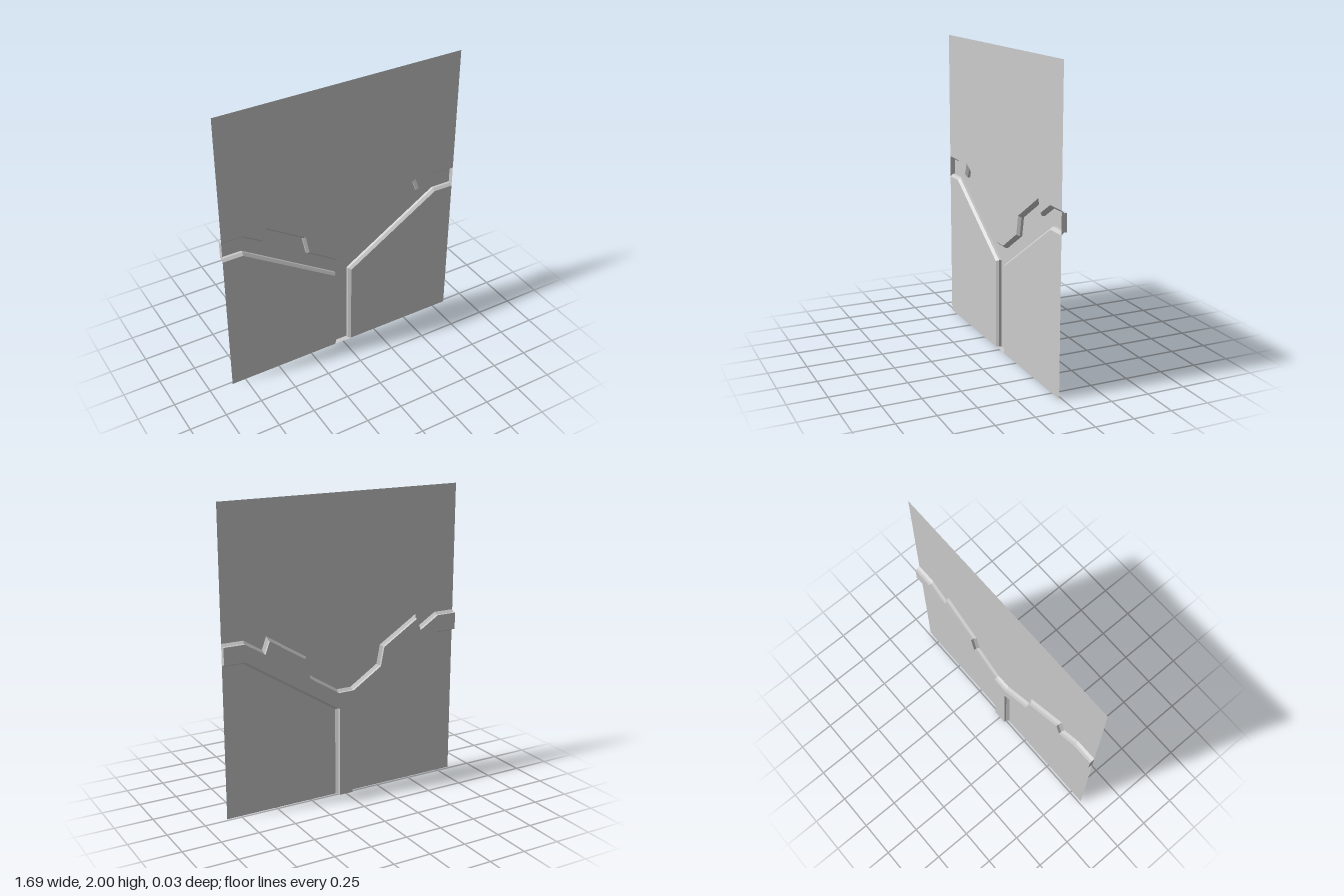
import * as THREE from 'three';

const W = 0.845, H = 2, FRONT = 0.017, FOLD = 0, BACK = -0.017, BEVEL = 0.016;

// Mirror a path across x = 0, keeping its left-to-right direction
const mirror = pts => pts.map(([x, y]) => [-x, y]).reverse();

// Shift a path sideways with mitred corners (positive d = to the right of travel)
function offset(pts, d) {
  const normal = (a, b) => new THREE.Vector2(b[1] - a[1], a[0] - b[0]).normalize();
  return pts.map((p, i) => {
    const n1 = normal(pts[Math.max(i - 1, 0)], pts[Math.max(i, 1)]);
    const last = pts.length - 1;
    const n2 = normal(pts[Math.min(i, last - 1)], pts[Math.min(i + 1, last)]);
    const m = n1.clone().add(n2);
    m.multiplyScalar(d / (1 + n1.dot(n2)));
    return [p[0] + m.x, p[1] + m.y];
  });
}

export function createModel() {
  const group = new THREE.Group();
  const material = new THREE.MeshStandardMaterial({
    color: 0xcccccc, flatShading: true, side: THREE.DoubleSide,
  });
  const add = (name, geometry) => {
    const mesh = new THREE.Mesh(geometry, material);
    mesh.name = name;
    group.add(mesh);
    return mesh;
  };

  // Flat sheet facing +z
  const sheet = (name, pts, z) => {
    const shape = new THREE.Shape(pts.map(([x, y]) => new THREE.Vector2(x, y)));
    add(name, new THREE.ShapeGeometry(shape)).position.z = z;
  };

  // Channel wall: a bevel from the panel edge, then a straight drop to the floor
  const wall = (name, edge, inner, flip) => {
    const rows = [[edge, FRONT], [inner, FOLD], [inner, BACK]];
    const pos = [];
    for (let r = 0; r < 2; r++) {
      for (let i = 0; i < edge.length - 1; i++) {
        const at = (row, k) => [...rows[row][0][k], rows[row][1]];
        const [a, b, c, d] = [at(r, i), at(r, i + 1), at(r + 1, i + 1), at(r + 1, i)];
        pos.push(...(flip ? [a, b, c, a, c, d] : [a, c, b, a, d, c]).flat());
      }
    }
    const g = new THREE.BufferGeometry();
    g.setAttribute('position', new THREE.Float32BufferAttribute(pos, 3));
    g.computeVertexNormals();
    add(name, g);
  };

  // Panel edges along the channel
  const upperHalf = [
    [0.05, 0.73], [0.247, 0.856], [0.272, 0.983], [0.547, 1.155],
    [0.577, 1.073], [0.70, 1.149], [W, 1.149],
  ];
  const upper = [...mirror(upperHalf), ...upperHalf];
  const lowerRight = [[0.064, 0], [0.064, 0.595], [0.708, 1.004], [W, 1.004]];
  const lowerLeft = mirror(lowerRight);

  // Floor edges
  const upperIn = offset(upper, BEVEL);
  const rightIn = offset(lowerRight, -BEVEL);
  const leftIn = offset(lowerLeft, -BEVEL);

  // Front panels
  sheet('upperPanel', [...upper, [W, H], [-W, H]], FRONT);
  sheet('lowerLeftPanel', [...lowerRight, [W, 0]], FRONT);
  sheet('lowerRightPanel', [...lowerLeft, [-W, 0]], FRONT);

  // Recessed channel
  sheet('channelFloor', [...leftIn, ...rightIn, ...[...upperIn].reverse()], BACK);
  wall('upperChannelWall', upper, upperIn, false);
  wall('lowerLeftChannelWall', lowerRight, rightIn, true);
  wall('lowerRightChannelWall', lowerLeft, leftIn, true);

  // Caps closing the channel at both sides and at the foot; u runs across the channel
  const cap = (name, u0, u1, place) => {
    const shape = new THREE.Shape([
      [u0, FRONT], [u0 + BEVEL, FOLD], [u0 + BEVEL, BACK],
      [u1 - BEVEL, BACK], [u1 - BEVEL, FOLD], [u1, FRONT],
    ].map(([u, z]) => new THREE.Vector2(u, z)));
    const g = new THREE.ShapeGeometry(shape);
    const p = g.attributes.position;
    for (let i = 0; i < p.count; i++) p.setXYZ(i, ...place(p.getX(i), p.getY(i)));
    g.computeVertexNormals();
    add(name, g);
  };
  cap('leftEndCap', 1.004, 1.149, (u, z) => [W, u, z]);
  cap('rightEndCap', 1.004, 1.149, (u, z) => [-W, u, z]);
  cap('footCap', -0.064, 0.064, (u, z) => [u, 0, z]);

  return group;
}
